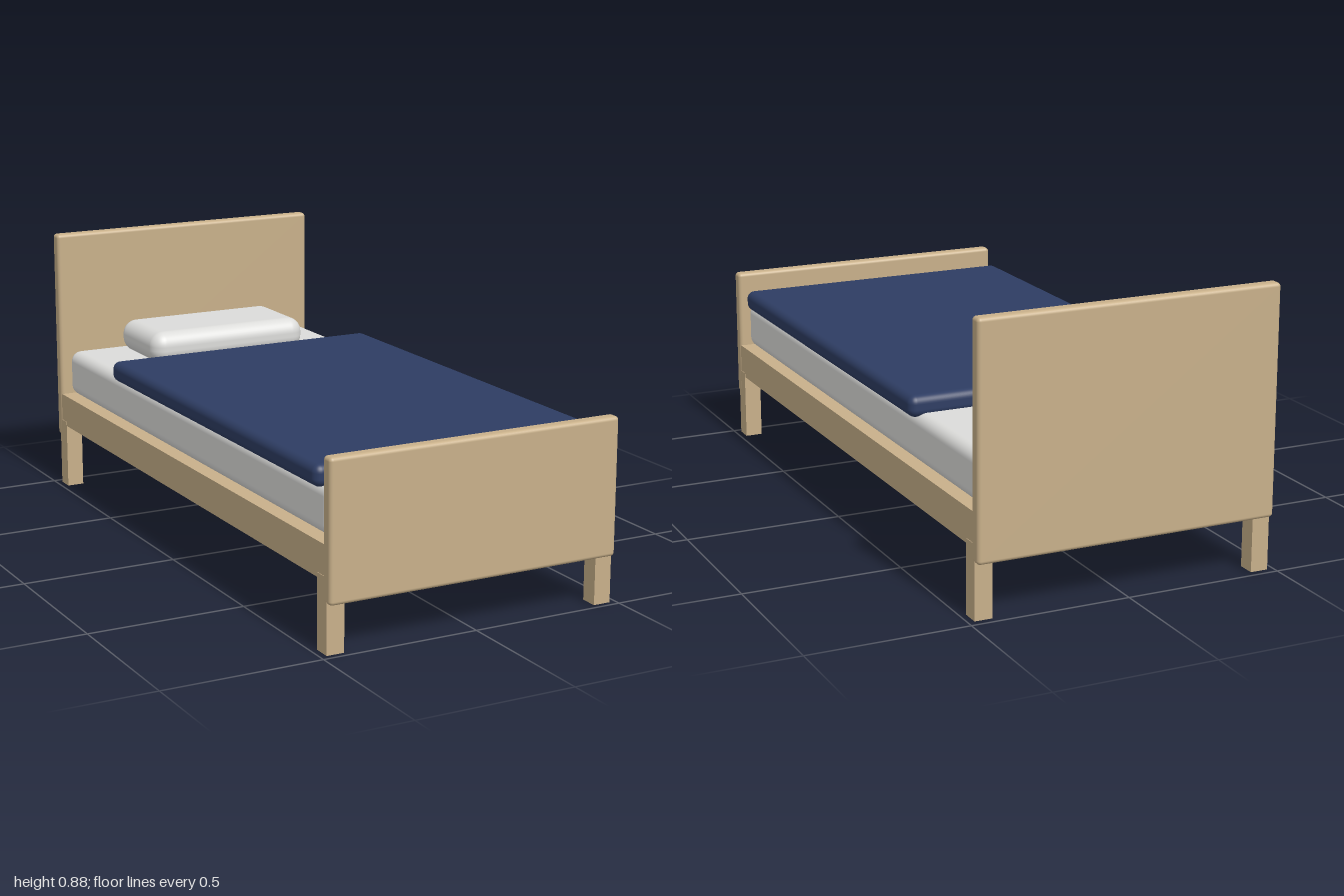
import * as THREE from 'three';
import { RoundedBoxGeometry } from 'three/addons/geometries/RoundedBoxGeometry.js';

export function createModel() {
  const bed = new THREE.Group();
  bed.name = 'bed';

  const material = (name, color) => {
    const m = new THREE.MeshStandardMaterial({ color });
    m.name = name;
    return m;
  };
  const wood = material('light wood', 0xc8b08a);
  const linen = material('white linen', 0xdcdcda);
  const navy = material('navy fabric', 0x2e3d63);

  // Box given by its extents along each axis, rounded when a radius is given
  const addBox = (name, mat, [x0, x1], [y0, y1], [z0, z1], radius = 0) => {
    const size = [x1 - x0, y1 - y0, z1 - z0];
    const geometry = radius
      ? new RoundedBoxGeometry(...size, 5, radius)
      : new THREE.BoxGeometry(...size);
    const mesh = new THREE.Mesh(geometry, mat);
    mesh.name = name;
    mesh.position.set((x0 + x1) / 2, (y0 + y1) / 2, (z0 + z1) / 2);
    bed.add(mesh);
  };

  // Wooden end panels
  addBox('headboard', wood, [-0.48, 0.48], [0.172, 0.882], [-1, -0.956], 0.012);
  addBox('footboard', wood, [-0.48, 0.48], [0.15, 0.578], [0.956, 1], 0.012);

  // Base slab between the panels
  addBox('bedFrame', wood, [-0.478, 0.478], [0.215, 0.322], [-0.965, 0.965]);

  // Four square legs
  for (const [side, x] of [['Left', 0.4515], ['Right', -0.4515]]) {
    for (const [end, z] of [['front', 0.952], ['back', -0.948]]) {
      addBox(`${end}${side}Leg`, wood, [x - 0.028, x + 0.028], [0, 0.23], [z - 0.028, z + 0.028]);
    }
  }

  // Bedding
  addBox('mattress', linen, [-0.455, 0.455], [0.325, 0.478], [-0.945, 0.945], 0.035);
  addBox('duvet', navy, [-0.475, 0.475], [0.464, 0.531], [-0.525, 0.905], 0.025);
  addBox('pillow', linen, [-0.285, 0.285], [0.474, 0.583], [-0.895, -0.592], 0.048);

  return bed;
}
